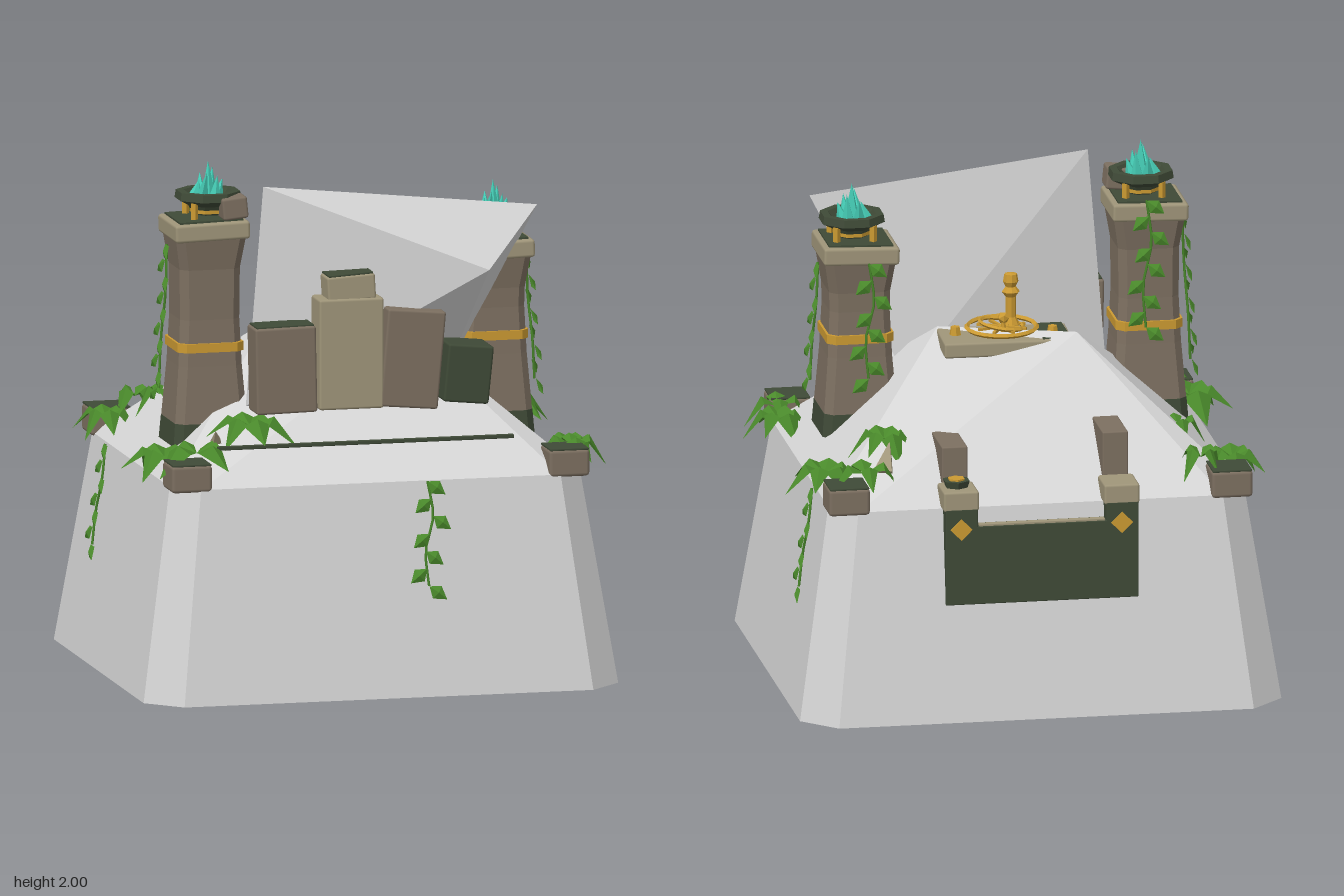
import * as THREE from 'three';
import { RoundedBoxGeometry } from 'three/addons/geometries/RoundedBoxGeometry.js';

const mat = (name, color, extra = {}) => new THREE.MeshStandardMaterial({ name, color, ...extra });

export function createModel() {
  const root = new THREE.Group();
  const rock = mat('paleRock', 0xd4d4d4);
  const brown = mat('brownStone', 0x7d7061);
  const tan = mat('tanStone', 0xa0967a);
  const moss = mat('mossStone', 0x3f4a37);
  const gold = mat('gold', 0xcb9a32);
  const teal = mat('crystal', 0x45cdb6);
  const leafGreen = mat('leaf', 0x4a8a2b, { side: THREE.DoubleSide });

  const add = (name, geo, material, pos = [0, 0, 0], rot = [0, 0, 0], parent = root) => {
    const m = new THREE.Mesh(geo, material);
    m.name = name;
    m.position.set(...pos);
    m.rotation.set(...rot);
    parent.add(m);
    return m;
  };
  const group = (name, x, y, z, parent = root) => {
    const g = new THREE.Group();
    g.name = name;
    g.position.set(x, y, z);
    parent.add(g);
    return g;
  };
  // flat-shaded geometry from a list of triangles
  const faceted = (tris) => {
    const g = new THREE.BufferGeometry();
    g.setAttribute('position', new THREE.Float32BufferAttribute(tris.flat(2), 3));
    g.computeVertexNormals();
    return g;
  };
  const flat = (geo) => {
    const g = geo.index ? geo.toNonIndexed() : geo;
    g.computeVertexNormals();
    return g;
  };
  // chamfered rectangle ring at height y
  const ring = (hx, hz, c, y) => [
    [c - hx, y, hz], [hx - c, y, hz], [hx, y, hz - c], [hx, y, c - hz],
    [hx - c, y, -hz], [c - hx, y, -hz], [-hx, y, c - hz], [-hx, y, hz - c]];
  const loft = (rings, capTop = true) => {
    const t = [], n = rings[0].length;
    for (let k = 0; k < rings.length - 1; k++) {
      for (let i = 0; i < n; i++) {
        const j = (i + 1) % n, a = rings[k], b = rings[k + 1];
        t.push([a[i], a[j], b[j]], [a[i], b[j], b[i]]);
      }
    }
    const lo = rings[0], hi = rings[rings.length - 1];
    for (let i = 1; i < n - 1; i++) {
      t.push([lo[0], lo[i + 1], lo[i]]);
      if (capTop) t.push([hi[0], hi[i], hi[i + 1]]);
    }
    return faceted(t);
  };
  // stone given by its min and max corners
  const block = (name, material, x0, x1, y0, y1, z0, z1, rz = 0, bevel = 0.01) =>
    add(name, new RoundedBoxGeometry(x1 - x0, y1 - y0, z1 - z0, 1, bevel), material,
      [(x0 + x1) / 2, (y0 + y1) / 2, (z0 + z1) / 2], [0, 0, rz]);

  // plinth and the faceted mound with its slanting ridge
  const rim = ring(0.81, 0.72, 0.1, 0.82);
  add('plinth', loft([ring(0.937, 0.85, 0.13, 0), rim], false), rock);
  const P = [-0.25, 1.32, -0.1], Q = [0.25, 1.3, 0.14];
  const roof = rim.map((p, i) => [p, rim[(i + 1) % 8], i < 4 ? Q : P]);
  roof.push([rim[4], P, Q], [rim[0], Q, P]);
  add('mound', faceted(roof), rock);

  // leaning rock slab
  const A = [-0.37, 1.92, 0.335], B = [0.72, 1.8, 0.3], C = [0.48, 1.59, 0.51];
  const D = [-0.44, 1.07, 0.34], E = [0.36, 1.08, 0.2];
  add('rockSlab', faceted([[A, C, B], [A, D, C], [D, E, C], [C, E, B], [A, B, E], [A, E, D]]), rock);

  // row of standing stones
  block('standingStone', brown, -0.435, -0.195, 1.06, 1.395, 0.35, 0.49, 0.02);
  block('standingStoneMoss', moss, -0.43, -0.205, 1.393, 1.401, 0.36, 0.48, 0.02, 0.002);
  block('standingStoneTall', tan, -0.19, 0.065, 1.07, 1.5, 0.37, 0.51);
  block('standingStoneCap', tan, -0.155, 0.035, 1.49, 1.59, 0.38, 0.5, 0.06);
  block('standingStoneCapMoss', moss, -0.15, 0.025, 1.588, 1.596, 0.385, 0.495, 0.06, 0.002);
  block('standingStone', brown, 0.065, 0.295, 1.065, 1.445, 0.38, 0.51, -0.09);
  block('standingStoneMossy', moss, 0.31, 0.49, 1.075, 1.3, 0.33, 0.51, -0.1);
  block('frontStep', moss, -0.61, 0.56, 0.945, 0.96, 0.565, 0.585, 0, 0.003);

  // corner blocks with mossy tops
  for (const sx of [-1, 1]) {
    for (const z of [0.645, -0.655]) {
      const x = sx * 0.745;
      block('cornerBlock', brown, x - 0.08, x + 0.08, 0.81, 0.915, z - 0.08, z + 0.08, 0, 0.014);
      block('cornerMoss', moss, x - 0.076, x + 0.076, 0.912, 0.92, z - 0.076, z + 0.076, 0, 0.002);
    }
  }

  // towers with braziers
  const tower = (x, top) => {
    const z = 0.16, g = group('tower', x, 0, z);
    const sq = (h, y) => ring(h, h, 0.03, y);
    add('towerFoot', loft([sq(0.15, 0.91), sq(0.143, 1.0)]), moss, [0, 0, 0], [0, 0, 0], g);
    add('towerShaft', loft([sq(0.142, 1.0), sq(0.125, 1.22), sq(0.117, 1.4),
      sq(0.119, top - 0.12), sq(0.138, top)]), brown, [0, 0, 0], [0, 0, 0], g);
    add('towerBand', loft([sq(0.13, 1.275), sq(0.13, 1.31)]), gold, [0, 0, 0], [0, 0, 0], g);
    add('towerCap', new RoundedBoxGeometry(0.295, 0.07, 0.295, 1, 0.012), tan, [0, top + 0.03, 0], [0, 0, 0.03], g);
    add('towerCapMoss', new THREE.BoxGeometry(0.25, 0.008, 0.25), moss, [0, top + 0.068, 0], [0, 0, 0.03], g);
    const b = group('brazier', 0.015, top + 0.07, 0, g);
    const bowl = [[0, 0.01], [0.06, 0.01], [0.08, 0.045], [0.13, 0.07], [0.125, 0.1], [0.095, 0.1], [0.075, 0.075], [0, 0.07]];
    add('bowl', flat(new THREE.LatheGeometry(bowl.map((p) => new THREE.Vector2(...p)), 8)), moss, [0, 0, 0], [0, 0.39, 0], b);
    add('bowlRing', flat(new THREE.CylinderGeometry(0.072, 0.072, 0.016, 8)), gold, [0, 0.025, 0], [0, 0.39, 0], b);
    for (let i = 0; i < 4; i++) {
      const a = Math.PI / 4 + i * Math.PI / 2;
      add('bowlLeg', new THREE.BoxGeometry(0.02, 0.065, 0.02), gold, [0.1 * Math.cos(a), 0.03, 0.1 * Math.sin(a)], [0, -a, 0], b);
    }
    // crystal cluster
    for (let i = 0; i < 7; i++) {
      const a = i * 1.05, r = i ? 0.045 : 0, h = i ? 0.075 + 0.02 * (i % 3) : 0.145;
      add('crystal', flat(new THREE.ConeGeometry(i ? 0.027 : 0.032, h, 5)), teal,
        [r * Math.cos(a), 0.07 + h / 2, r * Math.sin(a)], [0.3 * Math.sin(a) * (r > 0), a, -0.3 * Math.cos(a) * (r > 0)], b);
    }
  };
  tower(-0.56, 1.715);
  tower(0.565, 1.595);
  block('looseStone', brown, -0.52, -0.42, 1.79, 1.875, 0.2, 0.3, 0.1);

  // gate at the back: panel, ears, posts and side walls
  block('gatePanel', moss, -0.37, 0.38, 0.45, 0.76, -0.785, -0.7, 0, 0.004);
  block('gateSill', tan, -0.24, 0.25, 0.755, 0.768, -0.782, -0.755, 0, 0.003);
  for (const x of [-0.305, 0.32]) {
    block('gateEar', moss, x - 0.065, x + 0.06, 0.74, 0.83, -0.785, -0.65, 0, 0.004);
    block('gatePost', tan, x - 0.07, x + 0.068, 0.82, 0.9, -0.785, -0.63);
    add('gateDiamond', new THREE.BoxGeometry(0.06, 0.06, 0.008), gold, [x, 0.75, -0.787], [0, 0, Math.PI / 4]);
    block('gateWall', brown, x - 0.05, x + 0.05, 0.85, x < 0 ? 1.07 : 1.04, -0.64, -0.41, 0, 0.006);
  }
  add('gateLamp', flat(new THREE.CylinderGeometry(0.055, 0.045, 0.03, 6)), moss, [0.325, 0.912, -0.7]);
  add('gateLampTop', flat(new THREE.CylinderGeometry(0.034, 0.034, 0.012, 6)), gold, [0.325, 0.928, -0.7]);

  // stone shards
  for (const [x, y, z, ry] of [[0.37, 1.0, -0.34, 0.7], [0.56, 0.97, -0.5, 0.5], [-0.59, 0.96, 0.48, 0.8]]) {
    add('shard', flat(new THREE.ConeGeometry(0.05, 0.14, 4)), tan, [x, y, z], [0.5, ry, 0.3]);
  }

  // summit platform with a gilded instrument
  block('platform', tan, -0.24, 0.26, 1.235, 1.295, -0.105, 0.135).rotation.y = -0.03;
  block('platformMoss', moss, -0.23, -0.12, 1.293, 1.299, -0.095, 0.125, 0, 0.002);
  const dial = group('instrument', 0.02, 1.32, 0.025);
  add('outerRing', flat(new THREE.TorusGeometry(0.135, 0.01, 4, 20)), gold, [0, 0, 0], [Math.PI / 2 - 0.1, 0, 0], dial).scale.y = 0.8;
  add('innerRing', flat(new THREE.TorusGeometry(0.085, 0.008, 4, 16)), gold, [0, 0.01, 0], [Math.PI / 2, 0.15, 0], dial);
  for (let i = 0; i < 4; i++) {
    add('spoke', new THREE.BoxGeometry(0.2, 0.01, 0.012), gold, [0, 0, 0], [0, 0.3 + i * Math.PI / 4, 0], dial);
  }
  const column = [[0, 0], [0.035, 0], [0.02, 0.03], [0.02, 0.11], [0.035, 0.13], [0.02, 0.15], [0.03, 0.17], [0.025, 0.2], [0, 0.205]];
  add('column', flat(new THREE.LatheGeometry(column.map((p) => new THREE.Vector2(...p)), 8)), gold, [-0.04, 0, 0.03], [0, 0, 0], dial);
  add('sight', flat(new THREE.IcosahedronGeometry(0.024)), gold, [0, 0.045, -0.035], [0, 0, 0], dial);
  add('sightStem', flat(new THREE.CylinderGeometry(0.008, 0.012, 0.05, 6)), gold, [0, 0.015, -0.035], [0, 0, 0], dial);
  for (const [x, z] of [[-0.17, -0.02], [0.2, 0.03]]) {
    add('knob', flat(new THREE.CylinderGeometry(0.018, 0.024, 0.035, 6)), gold, [x, 1.31, z]);
  }

  // folded leaf growing along +z, arching down at the tip
  const leaf = (l, w, arch, drop) => {
    const o = [0, 0, 0], m = [0, arch, l * 0.5], t = [0, -drop, l];
    const a = [-w / 2, arch - w * 0.25, l * 0.45], b = [w / 2, arch - w * 0.25, l * 0.45];
    return faceted([[o, a, m], [o, m, b], [a, t, m], [m, t, b]]);
  };
  // ivy clumps: x, y, z, leaf length, leaf count, first angle
  for (const [x, y, z, l, n, a0] of [
    [-0.78, 0.9, 0.42, 0.17, 6, 0.2], [-0.68, 0.93, 0.53, 0.17, 4, 0.5],
    [-0.46, 1.02, 0.49, 0.17, 6, 0.1], [0.82, 0.88, 0.42, 0.13, 6, 0.4], [0.8, 0.9, 0.54, 0.12, 4, 0],
    [-0.79, 0.9, -0.48, 0.13, 6, 0], [-0.64, 0.95, -0.63, 0.1, 4, 0.7], [-0.6, 1.0, -0.36, 0.1, 4, 0.2],
    [0.55, 1.01, -0.38, 0.13, 6, 0.3], [0.79, 0.9, -0.42, 0.15, 6, 0.6], [0.66, 0.94, -0.6, 0.13, 4, 0.1]]) {
    const g = group('ivyClump', x, y, z);
    for (let i = 0; i < n; i++) {
      const k = l * (1 + 0.15 * Math.sin(i * 2.3 + a0));
      add('ivyLeaf', leaf(k, k * 0.62, 0.04, 0.05 + 0.03 * (i % 2)), leafGreen, [0, 0, 0], [0, a0 + i * 2 * Math.PI / n, 0], g);
    }
  }

  // hanging vines: x, z, top, bottom, facing angle, outward drift
  for (const [x, z, y1, y0, face, drift] of [
    [0.18, 0.735, 0.82, 0.42, 0, 0.05], [0.825, -0.35, 0.82, 0.43, Math.PI / 2, 0.05],
    [-0.825, -0.35, 0.82, 0.43, -Math.PI / 2, 0.05],
    [0.71, 0.17, 1.57, 1.1, Math.PI / 2, 0.03], [-0.705, 0.15, 1.68, 1.12, -Math.PI / 2, 0.03],
    [-0.54, 0.005, 1.8, 1.3, Math.PI, 0.02], [0.54, 0.005, 1.6, 1.15, Math.PI, 0.02]]) {
    const g = group('vine', x, y1, z);
    g.rotation.y = face;
    const h = y1 - y0, n = Math.round(h / 0.065);
    const path = new THREE.CatmullRomCurve3([0, 1, 2, 3].map((i) =>
      new THREE.Vector3(0.02 * Math.sin(i * 2), -h * i / 3, drift * i / 3)));
    add('vineStem', new THREE.TubeGeometry(path, 8, 0.005, 4), leafGreen, [0, 0, 0], [0, 0, 0], g);
    for (let i = 0; i <= n; i++) {
      const p = path.getPoint(i / n), s = i % 2 ? 1 : -1;
      add('vineLeaf', leaf(0.085, 0.06, 0.012, 0), leafGreen, [p.x, p.y, p.z + 0.006], [Math.PI / 2 - 0.25, s * -0.9, 0], g);
    }
  }
  return root;
}
